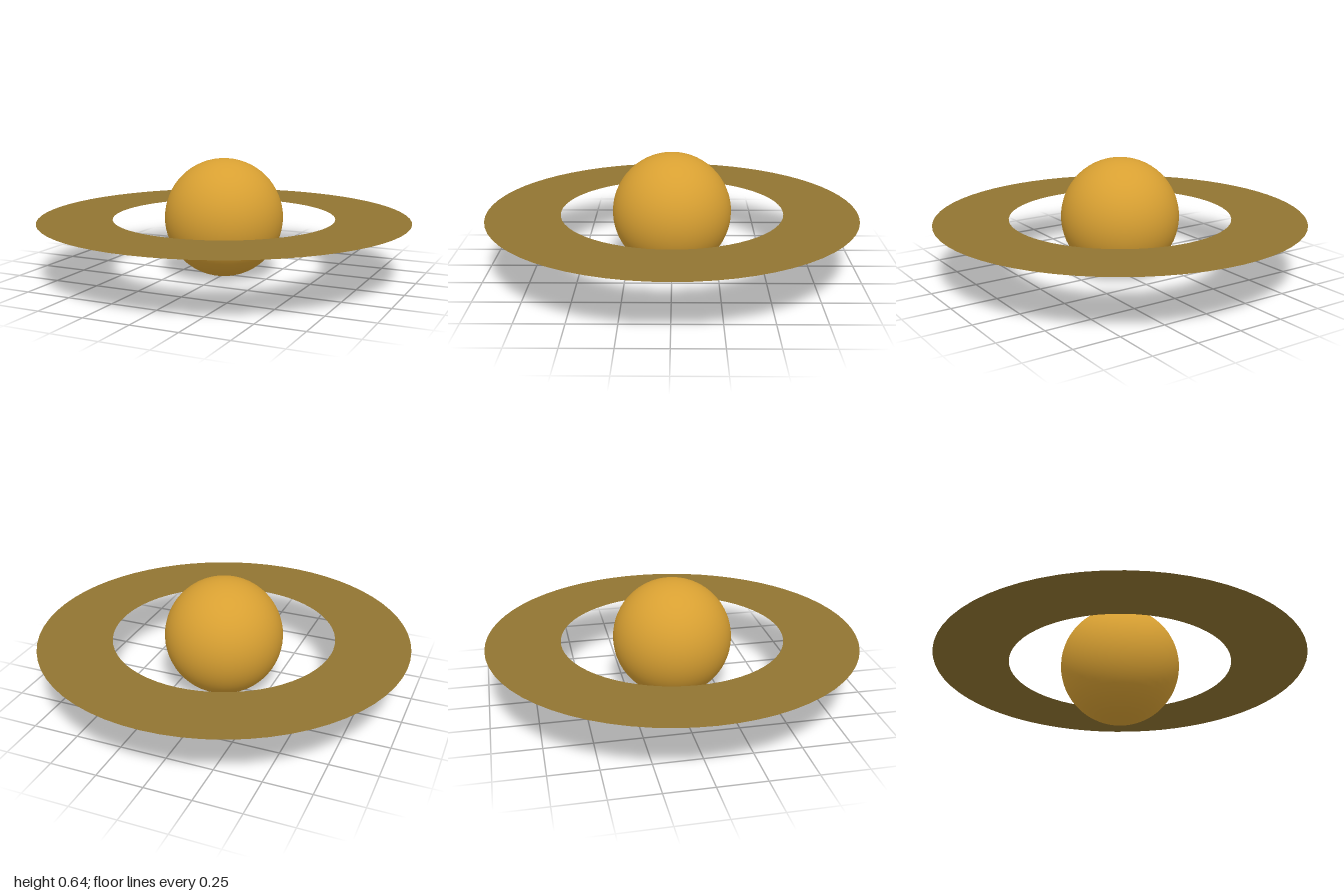
import * as THREE from 'three';

export function createModel() {
  const group = new THREE.Group();
  group.name = 'ringedPlanet';

  const gold = new THREE.MeshStandardMaterial({ color: 0xd8a032 });
  gold.name = 'gold';
  const bronze = new THREE.MeshStandardMaterial({ color: 0x917431, side: THREE.DoubleSide });
  bronze.name = 'bronze';

  const radius = 0.32;

  // Smooth round planet resting on the ground plane
  const planet = new THREE.Mesh(new THREE.SphereGeometry(radius, 48, 32), gold);
  planet.name = 'planet';
  planet.position.y = radius;

  // Flat ring floating around the equator
  const ring = new THREE.Mesh(new THREE.RingGeometry(0.6, 1, 64), bronze);
  ring.name = 'ring';
  ring.rotation.x = -Math.PI / 2;
  ring.position.y = radius;

  group.add(planet, ring);
  return group;
}
